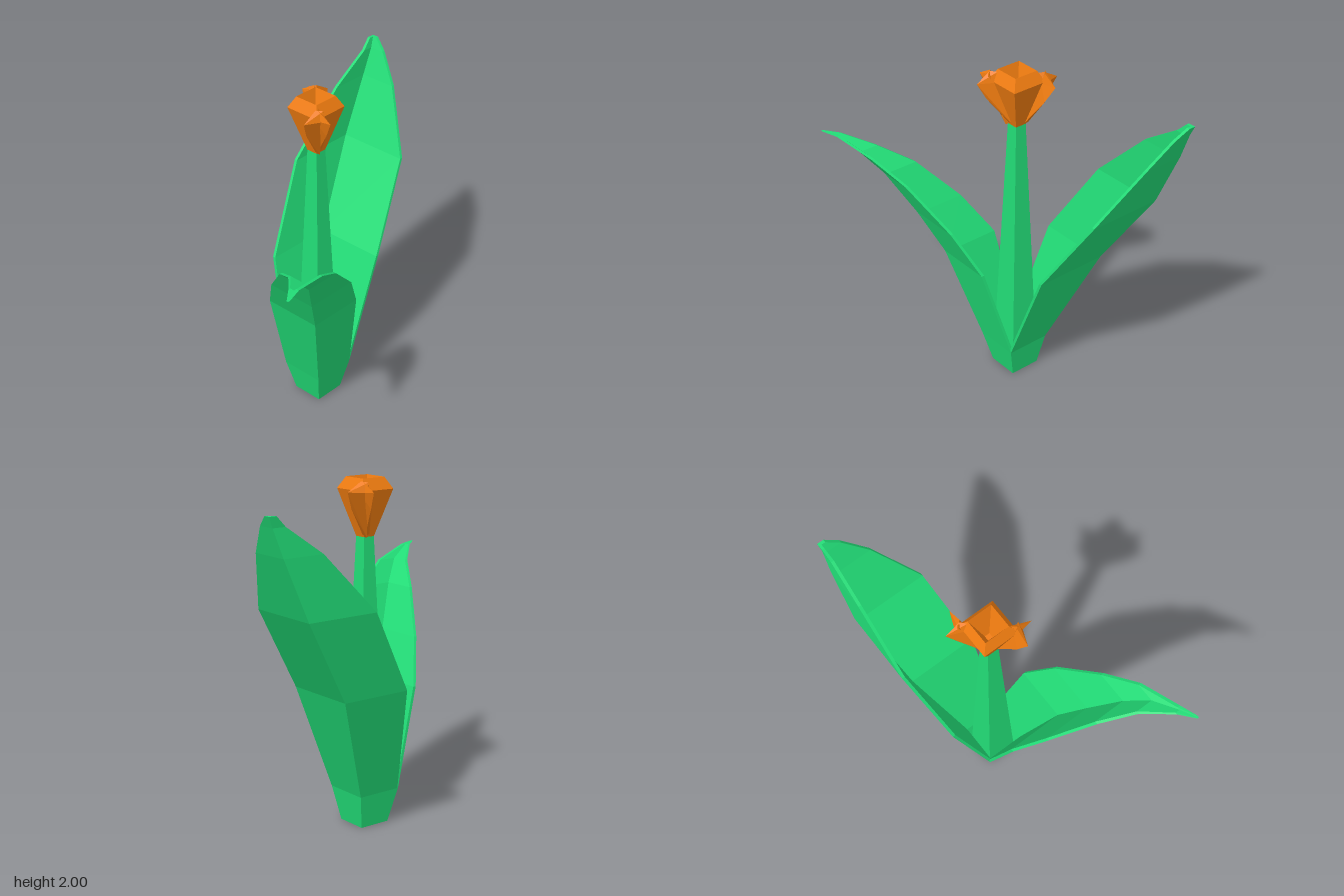
import * as THREE from 'three';
import { ConvexGeometry } from 'three/addons/geometries/ConvexGeometry.js';

const green = new THREE.MeshStandardMaterial({ color: 0x22dd77, flatShading: true });
const orange = new THREE.MeshStandardMaterial({ color: 0xf07c10, flatShading: true });
const STEM_X = -0.14;

function mesh(name, geometry, material) {
  const m = new THREE.Mesh(geometry, material);
  m.name = name;
  return m;
}

// Joins cross-sections (clockwise seen from above) into a closed faceted solid.
function loft(rings) {
  const n = rings[0].length, pos = [];
  const tri = (a, b, c) => pos.push(...a, ...b, ...c);
  for (let r = 0; r < rings.length - 1; r++) {
    for (let i = 0; i < n; i++) {
      const j = (i + 1) % n, lo = rings[r], hi = rings[r + 1];
      tri(lo[j], lo[i], hi[i]);
      tri(lo[j], hi[i], hi[j]);
    }
  }
  const first = rings[0], last = rings[rings.length - 1];
  for (let i = 1; i < n - 1; i++) {
    tri(first[0], first[i], first[i + 1]);
    tri(last[0], last[i + 1], last[i]);
  }
  const g = new THREE.BufferGeometry();
  g.setAttribute('position', new THREE.Float32BufferAttribute(pos, 3));
  g.computeVertexNormals();
  return g;
}

// Square section around the stem axis
const square = ([y, h]) =>
  [[-h, -h], [h, -h], [h, h], [-h, h]].map(([x, z]) => [STEM_X + x, y, z]);

// V-shaped leaf section: the rib corner (mx, mz) with one wing to x = qx and one to z = pz
function leafSection([y, mx, mz, qx, pz]) {
  const tx = Math.sign(qx - mx) * Math.min(0.018, Math.abs(qx - mx) * 0.4);
  const tz = Math.sign(pz - mz) * Math.min(0.018, Math.abs(pz - mz) * 0.4);
  return [
    [mx + tx, y, mz + tz], [mx + tx, y, pz], [mx, y, pz],
    [mx, y, mz], [qx, y, mz], [qx, y, mz + tz],
  ];
}

// Pointed petal leaning out of one side of the cup
function petalGeometry() {
  return new ConvexGeometry([
    [0.03, 1.67, 0], [0.03, 1.67, -0.03], [0.15, 1.84, 0.005],
    [0.1, 1.93, 0.015], [0.1, 1.93, -0.04], [0.2, 1.937, 0],
    [0.11, 1.99, 0], [0.08, 1.985, -0.03],
  ].map((p) => new THREE.Vector3(...p)));
}

export function createModel() {
  const model = new THREE.Group();
  model.name = 'flower';

  // Stem
  model.add(mesh('stem', loft([[0, 0.095], [1.67, 0.035]].map(square)), green));

  // Leaves: height, rib x, rib z, wing x, wing z
  const backLeaf = [
    [0, -0.235, -0.095, -0.045, 0.095],
    [0.2, -0.27, -0.13, 0, 0.14],
    [0.84, -0.455, -0.385, -0.005, 0.05],
    [1.34, -0.555, -0.695, -0.1, -0.25],
    [1.69, -0.555, -0.85, -0.31, -0.6],
    [1.85, -0.548, -0.91, -0.44, -0.83],
    [1.91, -0.555, -0.935, -0.515, -0.89],
  ];
  const frontLeaf = [
    [0, -0.045, 0.095, -0.235, -0.095],
    [0.2, 0, 0.145, -0.27, -0.13],
    [0.77, 0.14, 0.315, -0.22, -0.03],
    [1.02, 0.24, 0.445, -0.07, 0.125],
    [1.265, 0.36, 0.59, 0.145, 0.38],
    [1.39, 0.45, 0.71, 0.33, 0.58],
    [1.455, 0.515, 0.85, 0.47, 0.82],
    [1.46, 0.55, 0.935, 0.54, 0.92],
  ];
  model.add(mesh('backLeaf', loft(backLeaf.map(leafSection)), green));
  model.add(mesh('frontLeaf', loft(frontLeaf.map(leafSection)), green));

  // Blossom: square cup with a stepped hollow
  const blossom = new THREE.Group();
  blossom.name = 'blossom';
  const cup = [[1.67, 0.035], [1.935, 0.11], [2, 0.075], [1.94, 0.055], [1.82, 0.015]];
  blossom.add(mesh('cup', loft(cup.map(square)), orange));

  // Two petals at each of two opposite corners
  for (const s of [-1, 1]) {
    const corner = new THREE.Group();
    corner.name = 'petalPair';
    const alongX = mesh('petal', petalGeometry(), orange);
    alongX.position.z = 0.1;
    const alongZ = mesh('petal', petalGeometry().rotateY(-Math.PI / 2), orange);
    alongZ.position.x = 0.1;
    // Slide the foot of each petal back to the stem
    for (const [m, axis] of [[alongX, 'z'], [alongZ, 'x']]) {
      const p = m.geometry.attributes.position;
      for (let i = 0; i < p.count; i++) {
        const shift = -0.075 * Math.max(0, (1.93 - p.getY(i)) / 0.26);
        if (axis === 'z') p.setZ(i, p.getZ(i) + shift);
        else p.setX(i, p.getX(i) + shift);
      }
      m.geometry.computeVertexNormals();
    }
    corner.add(alongX, alongZ);
    corner.rotation.y = s > 0 ? 0 : Math.PI;
    corner.position.x = STEM_X;
    blossom.add(corner);
  }
  model.add(blossom);
  return model;
}
